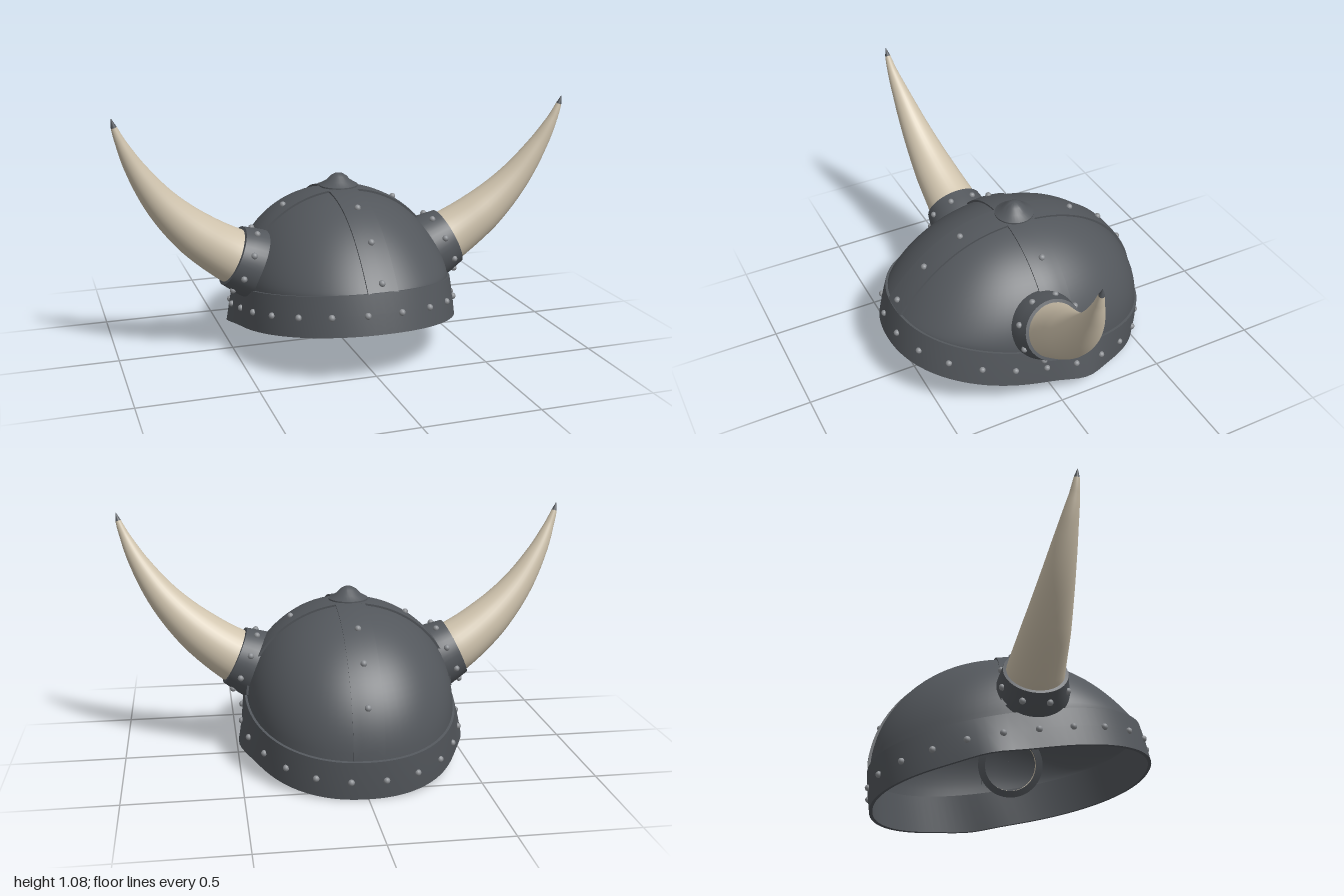
import * as THREE from 'three';
import { toCreasedNormals } from 'three/addons/utils/BufferGeometryUtils.js';

const V = (x, y, z) => new THREE.Vector3(x, y, z);
const N = 2.2;                      // superellipse power of the helmet outline
const HX = 0.455, HZ = 0.582, CZ = -0.017, TOP = 0.7;

// Surface through rows of points; rows may close on themselves
function loft(rows, closed) {
  const n = rows[0].length, pos = [], idx = [];
  rows.forEach(r => r.forEach(p => pos.push(p.x, p.y, p.z)));
  for (let i = 0; i < rows.length - 1; i++) {
    for (let j = 0; j < (closed ? n : n - 1); j++) {
      const k = (j + 1) % n, a = i * n + j, b = i * n + k, c = a + n, d = b + n;
      idx.push(a, c, b, b, c, d);
    }
  }
  const g = new THREE.BufferGeometry();
  g.setAttribute('position', new THREE.Float32BufferAttribute(pos, 3));
  g.setIndex(idx);
  g.computeVertexNormals();
  return g;
}

// Unit superellipse point: phi = 0 is the front
function outline(phi) {
  const f = v => Math.sign(v) * Math.pow(Math.abs(v), 2 / N);
  return [f(Math.sin(phi)), f(Math.cos(phi))];
}

// Height of the dome above plan position x, dz (dz measured from the crown)
function domePoint(x, dz, scale = 1) {
  const t = Math.min(1, Math.pow(Math.abs(x / HX) ** N + Math.abs(dz / HZ) ** N, 1 / N));
  const edge = t > 1e-4 ? dz / t : 0;
  const base = 0.28 + 0.187 * edge;
  const w = Math.max(0, edge / HZ);
  const h = (1 - w) * Math.sqrt(1 - t * t) + w * (1 - Math.pow(t, 2.5));
  const p = V(x, base + (TOP - 0.008 - base) * h, dz + CZ);
  return p.sub(V(0, 0.25, CZ)).multiplyScalar(scale).add(V(0, 0.25, CZ));
}

// Point on the tilted brim band: v runs from lower edge to upper edge
function bandPoint(phi, v, off = 0) {
  const [ox, oz] = outline(phi);
  const z = oz * (0.603 - 0.011 * v + off);
  const ear = 0.03 * Math.exp(-(((z + 0.14) / 0.11) ** 2)) * (1 - v);
  const x = ox * (0.478 - 0.013 * v + off + ear);
  return V(x, 0.115 + 0.19 * z + 0.165 * v, z + 0.012 - 0.029 * v);
}

export function createModel() {
  const mat = (name, color) => {
    const m = new THREE.MeshStandardMaterial({ color, side: THREE.DoubleSide });
    m.name = name;
    return m;
  };
  const iron = mat('dark iron', 0x53575c);
  const steel = mat('rivet steel', 0x8a8d91);
  const bone = mat('horn bone', 0xcfc3ad);
  const root = new THREE.Group();
  root.name = 'hornedHelmet';
  const add = (name, geo, m, parent = root) => {
    const mesh = new THREE.Mesh(geo, m);
    mesh.name = name;
    parent.add(mesh);
    return mesh;
  };
  const rivets = new THREE.Group();
  rivets.name = 'rivets';
  root.add(rivets);
  const rivetGeo = new THREE.SphereGeometry(0.014, 12, 8);
  const rivet = p => add('rivet', rivetGeo, steel, rivets).position.copy(p);

  // Dome shell
  const rows = [];
  for (let i = 0; i <= 24; i++) {
    const t = Math.sin((i / 24) * Math.PI / 2), row = [];
    for (let j = 0; j < 72; j++) {
      const [ox, oz] = outline((j / 72) * Math.PI * 2);
      row.push(domePoint(ox * HX * t, oz * HZ * t));
    }
    rows.push(row);
  }
  add('dome', loft(rows, true), iron);

  // Brim band with a closed cross-section
  const section = [[0, -0.014], [0, 0], [0.5, 0.002], [1, 0], [1, -0.016], [0, -0.014]];
  const band = loft(section.map(([v, o]) =>
    Array.from({ length: 96 }, (_, j) => bandPoint((j / 96) * Math.PI * 2, v, o))), true);
  add('brimBand', toCreasedNormals(band, 0.7), iron);

  // Rivets evenly spaced round the band
  const loop = new THREE.CatmullRomCurve3(
    Array.from({ length: 80 }, (_, j) => bandPoint((j / 80) * Math.PI * 2, 0.48, 0.003)), true);
  for (let i = 0; i < 24; i++) rivet(loop.getPointAt((i + 0.5) / 24));

  // Crossing reinforcement straps
  const strap = (name, along) => {
    const r = [], w = 0.0635;
    for (let i = -30; i <= 30; i++) {
      const t = Math.sin((i / 30) * Math.PI / 2) * 0.994;
      r.push([[-w, 0.99], [-w, 1.02], [-w / 2, 1.021], [0, 1.021], [w / 2, 1.021], [w, 1.02], [w, 0.99]]
        .map(([o, s]) => along === 'z' ? domePoint(o, t * HZ, s) : domePoint(t * HX, o, s)));
    }
    add(name, toCreasedNormals(loft(r, false), 0.6), iron);
  };
  strap('lengthwiseStrap', 'z');
  strap('crosswiseStrap', 'x');
  for (const z of [0.54, 0.41, 0.24, -0.29, -0.44, -0.55]) rivet(domePoint(0, z - CZ, 1.025));
  for (const x of [-0.25, 0.25]) rivet(domePoint(x, 0, 1.025));

  // Crown boss
  const boss = new THREE.LatheGeometry([[0, -0.015], [0.086, -0.002], [0.086, 0.004], [0.055, 0.022],
    [0.035, 0.043], [0.018, 0.053], [0, 0.056]].map(([x, y]) => new THREE.Vector2(x, y)), 32);
  add('crownBoss', toCreasedNormals(boss, 0.8), iron).position.set(0, 0.704, CZ);

  // Horns with collars
  const spine = [[0.39, 0.392, 0.05, 0.122], [0.497, 0.443, 0.052, 0.12], [0.66, 0.56, 0.075, 0.098],
    [0.8, 0.705, 0.1, 0.07], [0.905, 0.865, 0.126, 0.042], [0.96, 0.98, 0.145, 0.022],
    [0.984, 1.045, 0.152, 0.012], [0.993, 1.08, 0.155, 0.001]];
  for (const s of [1, -1]) {
    const side = new THREE.Group();
    side.name = s > 0 ? 'leftHorn' : 'rightHorn';
    root.add(side);
    const path = new THREE.CatmullRomCurve3(spine.map(p => V(s * p[0], p[1], p[2])));
    const sweep = (u0, u1, steps) => {
      const rings = [];
      for (let i = 0; i <= steps; i++) {
        const u = u0 + (u1 - u0) * i / steps, f = u * (spine.length - 1);
        const k = Math.min(spine.length - 2, Math.floor(f));
        const r = THREE.MathUtils.lerp(spine[k][3], spine[k + 1][3], f - k);
        const c = path.getPoint(u), t = path.getTangent(u);
        const a = V(0, 0, 1).cross(t).normalize(), b = t.clone().cross(a);
        rings.push(Array.from({ length: 32 }, (_, j) => {
          const q = (j / 32) * Math.PI * 2;
          return c.clone().addScaledVector(a, r * Math.cos(q)).addScaledVector(b, r * Math.sin(q));
        }));
      }
      return loft(rings, true);
    };
    const tipStart = 6 / 7;
    add('horn', sweep(0, tipStart, 36), bone, side);
    add('hornTip', sweep(tipStart, 1, 3), iron, side);

    // Collar flaring towards the dome
    const turn = new THREE.Quaternion().setFromUnitVectors(V(0, 1, 0), V(s * 0.9, 0.42, 0.01).normalize());
    const centre = V(s * 0.497, 0.443, 0.052);
    const collarGeo = new THREE.LatheGeometry([[0.122, -0.13], [0.153, -0.125], [0.152, -0.09], [0.142, -0.04],
      [0.133, 0.004], [0.116, 0.006]].map(([x, y]) => new THREE.Vector2(x, y)), 40);
    const collar = add('hornCollar', toCreasedNormals(collarGeo, 0.7), iron, side);
    collar.quaternion.copy(turn);
    collar.position.copy(centre);
    for (let i = 0; i < 8; i++) {
      const q = ((i + 0.5) / 8) * Math.PI * 2;
      rivet(V(0.143 * Math.cos(q), -0.042, 0.143 * Math.sin(q)).applyQuaternion(turn).add(centre));
    }
  }
  return root;
}
